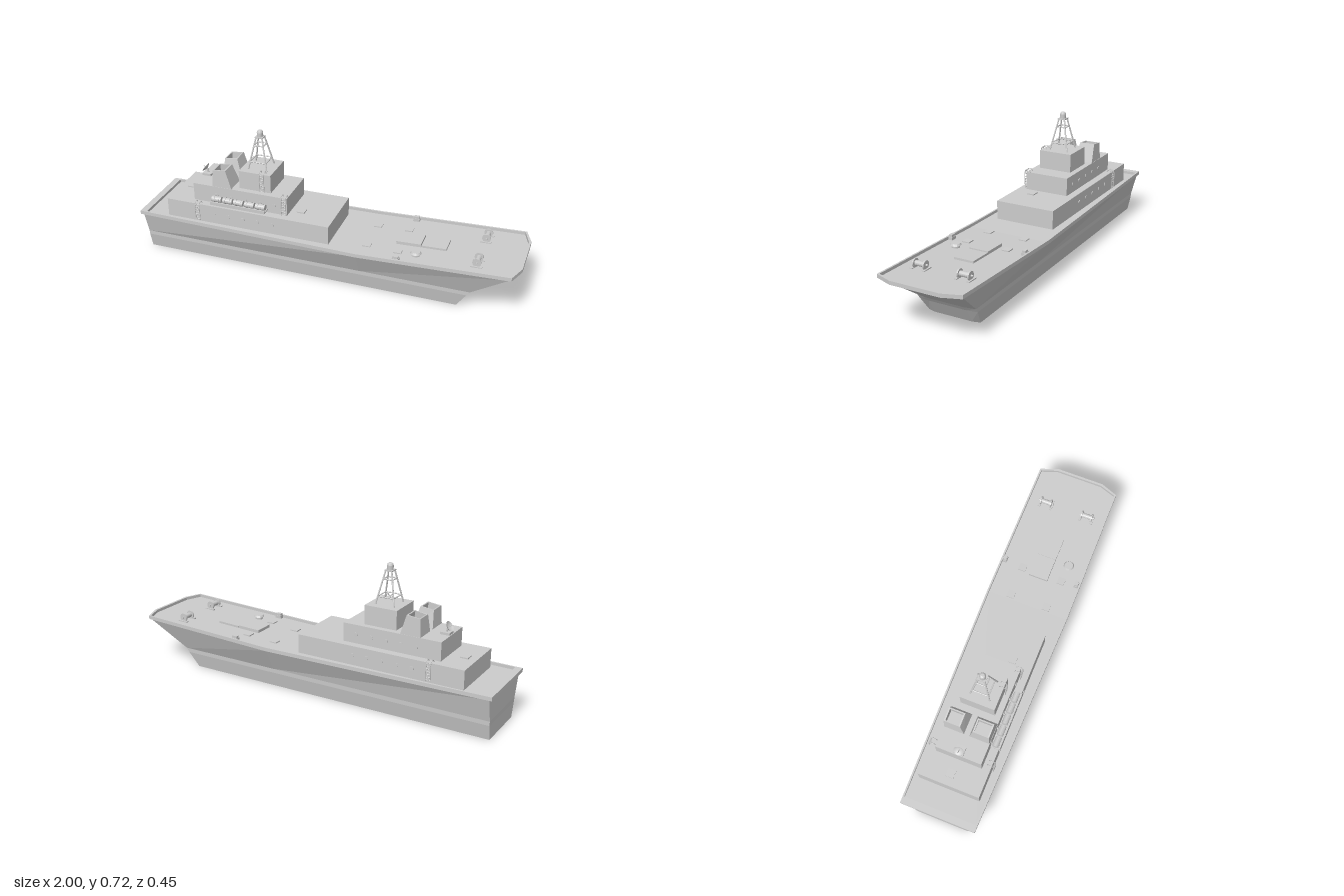
import * as THREE from 'three';

const grey = new THREE.MeshStandardMaterial({ color: 0xcccccc, flatShading: true, side: THREE.DoubleSide });
const smooth = new THREE.MeshStandardMaterial({ color: 0xcccccc, side: THREE.DoubleSide });
const V = (x, y, z) => new THREE.Vector3(x, y, z);

function add(parent, name, geometry, x = 0, y = 0, z = 0, material = grey) {
  const mesh = new THREE.Mesh(geometry, material);
  mesh.name = name;
  mesh.position.set(x, y, z);
  parent.add(mesh);
  return mesh;
}

function group(parent, name, x = 0, y = 0, z = 0) {
  const g = new THREE.Group();
  g.name = name;
  g.position.set(x, y, z);
  parent.add(g);
  return g;
}

// Box given by its limits on each axis
function block(parent, name, x0, x1, y0, y1, z0, z1) {
  return add(parent, name, new THREE.BoxGeometry(x1 - x0, y1 - y0, z1 - z0),
    (x0 + x1) / 2, (y0 + y1) / 2, (z0 + z1) / 2);
}

// Round bar between two points
function bar(parent, name, a, b, r, sides = 6) {
  const mesh = add(parent, name, new THREE.CylinderGeometry(r, r, a.distanceTo(b), sides));
  mesh.position.copy(a).lerp(b, 0.5);
  mesh.quaternion.setFromUnitVectors(V(0, 1, 0), b.clone().sub(a).normalize());
  return mesh;
}

// Joins stacked closed rings; rings run counter-clockwise seen from above.
// Even rings are capped in strips between mirrored points.
function loft(rings, capTop = true) {
  const pos = [];
  const quad = (a, b, c, d) => [a, b, c, a, c, d].forEach(p => pos.push(p.x, p.y, p.z));
  const n = rings[0].length;
  for (let k = 0; k < rings.length - 1; k++) {
    for (let i = 0; i < n; i++) {
      const j = (i + 1) % n;
      quad(rings[k][i], rings[k][j], rings[k + 1][j], rings[k + 1][i]);
    }
  }
  const top = rings[rings.length - 1], low = rings[0];
  for (let i = 0; i < n / 2 - 1; i++) {
    if (capTop) quad(top[i], top[i + 1], top[n - 2 - i], top[n - 1 - i]);
    quad(low[n - 1 - i], low[n - 2 - i], low[i + 1], low[i]);
  }
  const g = new THREE.BufferGeometry();
  g.setAttribute('position', new THREE.Float32BufferAttribute(pos, 3));
  g.computeVertexNormals();
  return g;
}

const sheer = x => 0.22 + 0.03 * Math.max(0, (x - 0.2) / 0.8);

// Waterline outline from [x, halfWidth] points, mirrored across the centreline
function outline(points, height) {
  const half = points.map(([x, z]) => V(x, height(x), z));
  return [...half, ...half.slice().reverse().map(p => V(p.x, p.y, -p.z))];
}

function ladder(parent, x, y0, y1, z, side) {
  const g = group(parent, 'ladder', x, 0, z);
  for (const s of [-0.012, 0.012]) {
    // Rail with a curved handhold over the roof edge
    const path = new THREE.CatmullRomCurve3([V(s, y0, side * 0.008), V(s, y1, side * 0.008),
      V(s, y1 + 0.011, -side * 0.005), V(s, y1 + 0.006, -side * 0.02), V(s, y1 - 0.004, -side * 0.023)]);
    add(g, 'ladderRail', new THREE.TubeGeometry(path, 20, 0.0022, 6), 0, 0, 0, smooth);
  }
  for (let i = 0; i < 7; i++) {
    const y = y0 + 0.006 + (y1 - y0 - 0.008) * i / 6;
    bar(g, 'ladderRung', V(-0.012, y, side * 0.008), V(0.012, y, side * 0.008), 0.002);
  }
}

function portholes(parent, y, z) {
  for (let i = 0; i < 5; i++) {
    for (const s of [1, -1]) {
      const p = add(parent, 'porthole', new THREE.CylinderGeometry(0.011, 0.011, 0.006, 16),
        -0.585 + i * 0.08, y, s * z);
      p.rotation.x = Math.PI / 2;
    }
  }
}

function winch(parent, z) {
  const g = group(parent, 'winch', 0.785, 0.243, z);
  for (const s of [-1, 1]) {
    block(g, 'winchFoot', -0.028, 0.028, 0, 0.008, s * 0.033 - 0.007, s * 0.033 + 0.007);
    const flange = add(g, 'winchFlange', new THREE.CylinderGeometry(0.022, 0.022, 0.007, 16), 0, 0.025, s * 0.028);
    flange.rotation.x = Math.PI / 2;
  }
  bar(g, 'winchDrum', V(0, 0.025, -0.028), V(0, 0.025, 0.028), 0.013, 16);
  bar(g, 'winchShaft', V(0, 0.025, -0.042), V(0, 0.025, 0.042), 0.005, 10);
}

export function createModel() {
  const ship = new THREE.Group();
  ship.name = 'ship';

  // Hull with knuckle, flared bow, raised rim and sunken deck
  const rimOut = [[-1, 0.197], [0.2, 0.225], [0.965, 0.222], [1, 0.13]];
  const rimIn = [[-0.965, 0.189], [0.2, 0.216], [0.958, 0.213], [0.988, 0.126]];
  add(ship, 'hull', loft([
    outline([[-0.98, 0.14], [0.2, 0.14], [0.7, 0.14], [0.71, 0.1]], () => 0),
    outline([[-0.982, 0.157], [0.2, 0.157], [0.75, 0.157], [0.758, 0.1]], () => 0.078),
    outline([[-0.983, 0.158], [0.2, 0.158], [0.765, 0.158], [0.775, 0.1]], () => 0.1),
    outline([[-0.985, 0.19], [0.2, 0.219], [0.955, 0.216], [0.985, 0.128]], sheer),
    outline(rimOut, sheer),
    outline(rimOut, x => sheer(x) + 0.019),
    outline(rimIn, x => sheer(x) + 0.019),
    outline(rimIn, x => sheer(x) + 0.004),
  ]));

  // Superstructure tiers
  block(ship, 'lowerDeckhouse', -0.85, 0.04, 0.215, 0.322, -0.161, 0.161);
  block(ship, 'middleDeckhouse', -0.713, -0.195, 0.322, 0.417, -0.12, 0.12);
  block(ship, 'bridge', -0.466, -0.293, 0.417, 0.515, -0.09, 0.09);
  portholes(ship, 0.275, 0.161);
  portholes(ship, 0.366, 0.12);
  for (const s of [1, -1]) ladder(ship, -0.675, 0.232, 0.324, s * 0.161, s);
  ladder(ship, -0.21, 0.324, 0.42, 0.12, 1);
  ladder(ship, -0.338, 0.419, 0.518, 0.09, 1);

  // Twin funnels, hollow at the top
  for (const s of [1, -1]) {
    const ring = (x0, x1, y0, y1, zi, zo) => {
      const [a, b] = s > 0 ? [zo, zi] : [-zi, -zo];
      return [V(x0, y0, a), V(x1, y1, a), V(x1, y1, b), V(x0, y0, b)];
    };
    add(ship, 'funnel', loft([
      ring(-0.606, -0.5, 0.417, 0.417, 0.014, 0.118),
      ring(-0.6, -0.53, 0.507, 0.515, 0.032, 0.116),
      ring(-0.594, -0.537, 0.507, 0.515, 0.039, 0.109),
      ring(-0.594, -0.53, 0.46, 0.46, 0.034, 0.109),
    ]));
  }

  // Lattice mast
  const mast = group(ship, 'mast', -0.38, 0, 0);
  const corner = (y, i) => {
    const r = THREE.MathUtils.lerp(0.05, 0.016, (y - 0.515) / 0.165);
    return V([1, 1, -1, -1][i] * r, y, [1, -1, -1, 1][i] * r);
  };
  for (let i = 0; i < 4; i++) {
    bar(mast, 'mastLeg', corner(0.512, i), corner(0.682, i), 0.0042, 8);
    for (const y of [0.553, 0.638]) bar(mast, 'mastBrace', corner(y, i), corner(y, (i + 1) % 4), 0.0032);
  }
  block(mast, 'mastPlate', -0.021, 0.021, 0.678, 0.683, -0.021, 0.021);
  const cap = [[0, 0.68], [0.016, 0.68], [0.016, 0.705], [0.013, 0.713], [0.007, 0.717], [0, 0.717]];
  add(mast, 'mastCap', new THREE.LatheGeometry(cap.map(p => new THREE.Vector2(...p)), 16));

  // Dish antenna facing aft and up
  const antenna = group(ship, 'dishAntenna', -0.685, 0.417, 0);
  block(antenna, 'antennaBase', -0.024, 0.024, 0, 0.012, -0.024, 0.024);
  bar(antenna, 'antennaPost', V(0, 0.01, 0), V(-0.006, 0.032, 0), 0.005, 8);
  const dish = group(antenna, 'dish', -0.006, 0.032, 0);
  dish.rotation.z = 0.95;
  const bowl = [[0, 0], [0.012, 0.002], [0.021, 0.006], [0.027, 0.011]];
  add(dish, 'dishBowl', new THREE.LatheGeometry(bowl.map(p => new THREE.Vector2(...p)), 20), 0, 0, 0, smooth);
  bar(dish, 'dishFeed', V(0, 0, 0), V(0, 0.024, 0), 0.002);

  // Life raft canisters on a side rack
  block(ship, 'raftRack', -0.6, -0.3, 0.335, 0.341, 0.119, 0.168);
  block(ship, 'raftRackLip', -0.6, -0.3, 0.341, 0.352, 0.163, 0.168);
  for (let i = 0; i < 5; i++) {
    const x = -0.571 + i * 0.0605;
    bar(ship, 'raftCanister', V(x - 0.026, 0.36, 0.143), V(x + 0.026, 0.36, 0.143), 0.0155, 14);
    for (const d of [-0.012, 0.012])
      bar(ship, 'raftStrap', V(x + d - 0.002, 0.36, 0.143), V(x + d + 0.002, 0.36, 0.143), 0.0172, 14);
  }

  // Foredeck gear
  for (const s of [1, -1]) {
    winch(ship, s * 0.118);
    block(ship, 'bollardBase', 0.383, 0.417, 0.228, 0.247, s * 0.203 - 0.011, s * 0.203 + 0.011);
    block(ship, 'bollardTop', 0.386, 0.414, 0.247, 0.258, s * 0.203 - 0.009, s * 0.203 + 0.009);
  }
  for (const x of [0.361, 0.49]) {
    const cover = block(ship, 'cargoHatch', x, x + 0.126, 0.225, 0.248, -0.054, 0.05);
    cover.rotation.z = 0.0375;
  }
  add(ship, 'ventBase', new THREE.CylinderGeometry(0.02, 0.02, 0.02, 16), 0.482, 0.238, 0.128);
  add(ship, 'ventCap', new THREE.CylinderGeometry(0.022, 0.028, 0.01, 16), 0.482, 0.252, 0.128);

  // Small flat access hatches
  for (const [x, y, z] of [[0.225, 0.226, 0.1], [0.225, 0.226, -0.1], [0.39, 0.233, 0.12],
    [0.39, 0.233, -0.1], [-0.14, 0.324, 0.055], [-0.79, 0.324, -0.01]])
    add(ship, 'accessHatch', new THREE.BoxGeometry(0.04, 0.008, 0.04), x, y, z);

  return ship;
}
